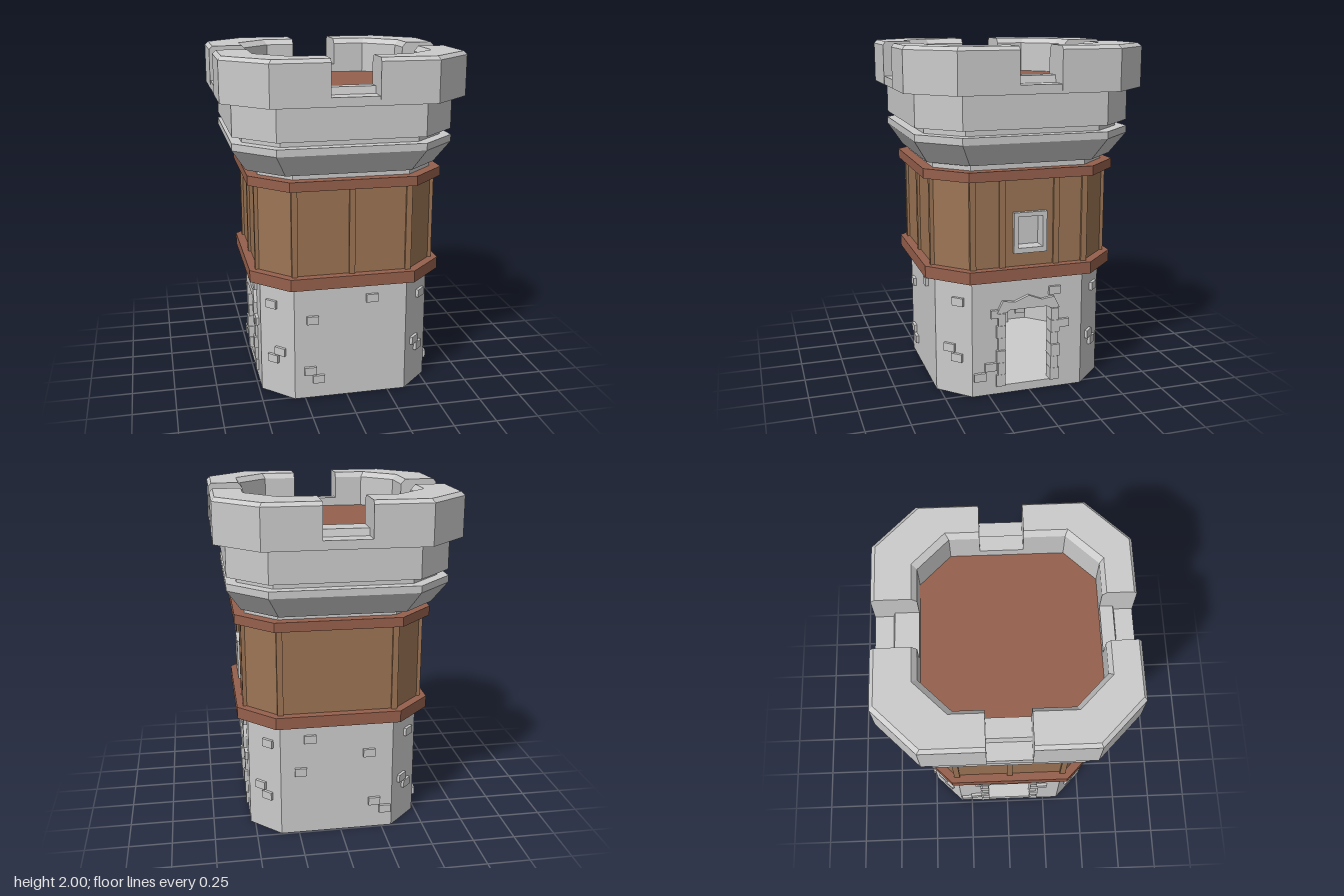
import * as THREE from 'three';

const mat = (color) => new THREE.MeshStandardMaterial({ color, flatShading: true, side: THREE.DoubleSide });
const CX = 0.022, CZ = 0.012; // the shaft stands slightly off the crown's centre

// Skin a list of equal-length point loops, optionally capping both ends
function skin(sections, capped = true) {
  const pos = [];
  const tri = (a, b, c) => pos.push(...a, ...b, ...c);
  for (let k = 0; k + 1 < sections.length; k++) {
    const A = sections[k], B = sections[k + 1], n = A.length;
    for (let i = 0; i < n; i++) {
      const j = (i + 1) % n;
      tri(A[i], A[j], B[j]);
      tri(A[i], B[j], B[i]);
    }
  }
  if (capped) {
    const A = sections[0], B = sections[sections.length - 1];
    for (let i = 1; i + 1 < A.length; i++) {
      tri(A[0], A[i + 1], A[i]);
      tri(B[0], B[i], B[i + 1]);
    }
  }
  const g = new THREE.BufferGeometry();
  g.setAttribute('position', new THREE.Float32BufferAttribute(pos, 3));
  g.computeVertexNormals();
  return g;
}

// Chamfered square: half width a, half length f of each straight side
const octagon = (a, f, y, cx = CX, cz = CZ) =>
  [[a, f], [a, -f], [f, -a], [-f, -a], [-a, -f], [-a, f], [-f, a], [f, a]].map(([x, z]) => [cx + x, y, cz + z]);

function rectPath(P, u0, u1, y0, y1) {
  const p = new P();
  p.moveTo(u0, y0); p.lineTo(u1, y0); p.lineTo(u1, y1); p.lineTo(u0, y1); p.closePath();
  return p;
}

export function createModel() {
  const model = new THREE.Group();
  const stone = mat(0xcccccc), wood = mat(0x9c7555), trim = mat(0x96604c);

  const add = (name, geometry, material, parent = model) => {
    const m = new THREE.Mesh(geometry, material);
    m.name = name;
    parent.add(m);
    return m;
  };
  // Group on one side of the shaft: local x runs along the wall, z points out
  const side = (name, angle) => {
    const g = new THREE.Group();
    g.name = name;
    g.position.set(CX, 0, CZ);
    g.rotation.y = angle;
    model.add(g);
    return g;
  };
  // Eight-sided wall; openings are [side number, u0, u1, y0, y1]
  const wall = (name, material, a, f, y0, y1, openings) => {
    const chamfer = (a + f) / Math.SQRT2, half = (a - f) / Math.SQRT2;
    for (let i = 0; i < 8; i++) {
      const w = i % 2 ? half : f;
      const s = rectPath(THREE.Shape, -w, w, y0, y1);
      openings.filter((o) => o[0] === i).forEach((o) => s.holes.push(rectPath(THREE.Path, ...o.slice(1))));
      const g = side(name, i * Math.PI / 4);
      add(name + 'Panel', new THREE.ShapeGeometry(s), material, g).position.z = i % 2 ? chamfer : a;
    }
  };

  // Hollow stone base with a doorway on both flanks
  wall('baseWall', stone, 0.505, 0.333, 0, 0.7, [[2, -0.14, 0.14, 0.05, 0.51], [6, -0.14, 0.14, 0.05, 0.51]]);
  add('baseFloor', skin([octagon(0.504, 0.332, 0), octagon(0.504, 0.332, 0.05)]), stone);

  // Timber storey with red belts
  wall('timberWall', wood, 0.515, 0.34, 0.76, 1.28, [[2, -0.07, 0.075, 0.88, 1.06]]);
  add('lowerBelt', skin([octagon(0.565, 0.36, 0.7), octagon(0.565, 0.36, 0.77)]), trim);
  add('upperBelt', skin([octagon(0.565, 0.36, 1.275), octagon(0.565, 0.36, 1.33)]), trim);
  const post = new THREE.BoxGeometry(0.034, 0.505, 0.03);
  [[0], [-0.16, 0.16], [], [0]].forEach((mids, i) => {
    const g = side('timberPosts', i * Math.PI / 2);
    [-0.33, ...mids, 0.33].forEach((u) => add('post', post, wood, g).position.set(u, 1.0225, 0.515));
  });

  // Window with a deep frame and a recessed pane
  const win = side('window', Math.PI / 2);
  const frame = rectPath(THREE.Shape, -0.095, 0.1, 0.85, 1.085);
  frame.holes.push(rectPath(THREE.Path, -0.07, 0.075, 0.88, 1.06));
  add('windowFrame', new THREE.ExtrudeGeometry(frame, { depth: 0.09, bevelEnabled: false }), stone, win).position.z = 0.45;
  add('windowPane', new THREE.PlaneGeometry(0.18, 0.22), stone, win).position.set(0.003, 0.97, 0.455);

  // Doorways: uneven jamb stones under a rough pointed lintel
  for (const angle of [Math.PI / 2, -Math.PI / 2]) {
    const door = side('doorway', angle);
    for (const s of [-1, 1]) {
      for (let i = 0; i < 6; i++) {
        const w = i % 2 ? 0.044 : 0.054;
        const m = add('jambStone', new THREE.BoxGeometry(w, 0.072, 0.07 + (i % 3) * 0.008), stone, door);
        m.position.set(s * (0.138 + w / 2), 0.086 + i * 0.075, 0.485);
      }
    }
    const lintel = new THREE.Shape([[-0.19, 0.5], [-0.14, 0.5], [-0.11, 0.515], [0.11, 0.515], [0.14, 0.5], [0.19, 0.5],
      [0.155, 0.57], [0.08, 0.56], [0, 0.592], [-0.08, 0.56], [-0.155, 0.57]].map((p) => new THREE.Vector2(...p)));
    add('lintel', new THREE.ExtrudeGeometry(lintel, { depth: 0.075, bevelEnabled: false }), stone, door).position.z = 0.45;
  }

  // Bricks standing proud of the base walls
  const brick = new THREE.BoxGeometry(0.07, 0.048, 0.04);
  const flank = [[0.16, 0.605], [0.215, 0.4], [-0.19, 0.495], [-0.225, 0.175], [-0.29, 0.12]];
  const corner = [[0.035, 0.57], [-0.025, 0.285], [0.025, 0.23]];
  const mirror = (list) => list.map(([u, y]) => [-u, y]);
  const bricks = [
    [[0.125, 0.605], [-0.227, 0.495], [-0.242, 0.175], [-0.192, 0.12]], corner, flank, corner,
    mirror(flank), corner, flank, mirror(corner),
  ];
  bricks.forEach((list, i) => {
    const g = side('wallBricks', i * Math.PI / 4);
    list.forEach(([u, y]) => add('brick', brick, stone, g).position.set(u, y, i % 2 ? 0.59 : 0.503));
  });

  // Neck, flared cornice, groove and collar
  add('neck', skin([octagon(0.505, 0.333, 1.3), octagon(0.505, 0.333, 1.37)]), stone);
  const ring = (a, f, y) => octagon(a, f, y, 0, 0);
  add('cornice', skin([ring(0.548, 0.355, 1.36), ring(0.628, 0.415, 1.485), ring(0.628, 0.415, 1.525),
    ring(0.57, 0.385, 1.525), ring(0.57, 0.385, 1.56), ring(0.625, 0.413, 1.56), ring(0.625, 0.413, 1.76)]), stone);

  // Parapet base with a raised inner sill, and the roof deck
  const inner = (y) => octagon(0.48, 0.31, y, 0.01, 0.03);
  add('parapetBase', skin([ring(0.6, 0.4, 1.75), ring(0.688, 0.455, 1.75), ring(0.688, 0.455, 1.8),
    ring(0.59, 0.39, 1.8), ring(0.58, 0.385, 1.84), inner(1.84), inner(1.77)], false), stone);
  add('roofDeck', skin([octagon(0.482, 0.311, 1.76, 0.01, 0.03), octagon(0.482, 0.311, 1.79, 0.01, 0.03)]), trim);

  // Four corner merlons with bevelled top edges
  for (const sx of [-1, 1]) for (const sz of [-1, 1]) {
    const ix = (v) => sx * v + 0.01, iz = (v) => sz * v + 0.03;
    const gx = sx * 0.133, gz = sz * 0.118;
    const plan = [ // outer x, z and inner x, z
      [gx, sz * 0.69, gx, iz(0.48)],
      [sx * 0.455, sz * 0.69, ix(0.31), iz(0.48)],
      [sx * 0.69, sz * 0.455, ix(0.48), iz(0.31)],
      [sx * 0.69, gz, ix(0.48), gz],
    ];
    const sections = plan.map(([ox, oz, nx, nz]) => {
      const at = (t, y) => [ox + (nx - ox) * t, y, oz + (nz - oz) * t];
      return [at(1, 1.77), at(1, 1.97), at(0.88, 2), at(0.09, 2), at(0, 1.98), at(0, 1.75)];
    });
    if (sx * sz < 0) sections.reverse();
    add('merlon', skin(sections), stone);
  }
  return model;
}
